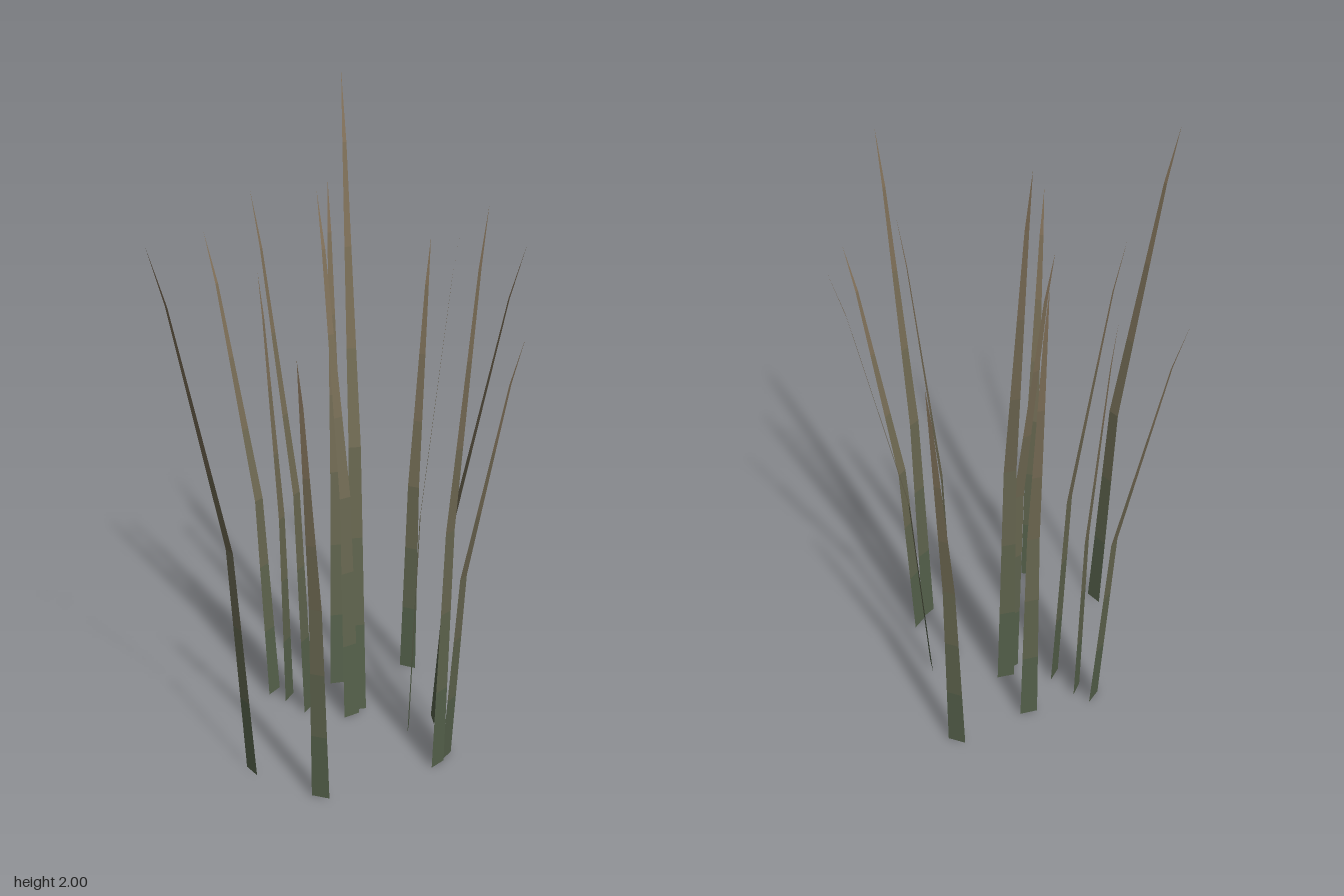
import * as THREE from 'three';

// Blades: base x, base z, tip x, tip z, height
const BLADES = [
  [0.159, -0.387, 0.206, -0.522, 1.46],
  [-0.27, -0.201, -0.47, -0.322, 1.52],
  [-0.147, -0.105, -0.307, -0.18, 1.69],
  [-0.217, -0.168, -0.293, -0.197, 1.44],
  [-0.064, -0.268, -0.104, -0.4, 1.68],
  [0.01, -0.113, -0.06, -0.375, 2.0],
  [-0.006, -0.076, -0.12, -0.23, 1.68],
  [0.253, -0.07, 0.488, -0.122, 1.56],
  [0.178, -0.014, 0.304, -0.008, 1.66],
  [0.301, 0.128, 0.483, 0.232, 1.41],
  [0.276, 0.173, 0.374, 0.254, 1.78],
  [-0.285, 0.252, -0.492, 0.432, 1.7],
  [-0.065, 0.367, -0.101, 0.52, 1.44],
];

// Cross-sections along a blade: height fraction, share of the lean, width
const SECTIONS = [[0, 0, 0.055], [0.45, 0.2, 0.038], [0.9, 0.81, 0.012], [1, 1, 0]];

// Bands from the green foot to the dry tip
const BANDS = [0, 0.15, 0.3, 0.45, 0.6, 0.75, 0.9, 1];
const FOOT = new THREE.Color(0x4f5f49);
const TIP = new THREE.Color(0x87745c);
const bandMaterials = BANDS.slice(1).map((t, i) => new THREE.MeshStandardMaterial({
  color: FOOT.clone().lerp(TIP, (t + BANDS[i]) / 2),
  side: THREE.DoubleSide,
  flatShading: true,
}));

// Straight interpolation between the cross-sections
function sectionAt(t) {
  let i = 1;
  while (i < SECTIONS.length - 1 && t > SECTIONS[i][0]) i++;
  const a = SECTIONS[i - 1], b = SECTIONS[i];
  const k = (t - a[0]) / (b[0] - a[0]);
  return a.map((v, j) => v + (b[j] - v) * k);
}

// The two edge points of a blade at height fraction t; its width lies across the lean
function edgePoints([bx, bz, tx, tz, height], t) {
  const [, lean, width] = sectionAt(t);
  const dx = tx - bx, dz = tz - bz;
  const half = width / 2 / Math.hypot(dx, dz);
  const x = bx + dx * lean, z = bz + dz * lean, y = height * t;
  return [x - dz * half, y, z + dx * half, x + dz * half, y, z - dx * half];
}

function createBlade(blade) {
  const group = new THREE.Group();
  group.name = 'grassBlade';
  bandMaterials.forEach((material, i) => {
    const geometry = new THREE.BufferGeometry();
    const points = [...edgePoints(blade, BANDS[i]), ...edgePoints(blade, BANDS[i + 1])];
    geometry.setAttribute('position', new THREE.Float32BufferAttribute(points, 3));
    // The last band closes to a point, so it needs only one triangle
    geometry.setIndex(BANDS[i + 1] === 1 ? [0, 1, 3] : [0, 1, 3, 0, 3, 2]);
    geometry.computeVertexNormals();
    const mesh = new THREE.Mesh(geometry, material);
    mesh.name = 'bladeBand';
    group.add(mesh);
  });
  return group;
}

export function createModel() {
  const model = new THREE.Group();
  model.name = 'grassTuft';
  BLADES.forEach((blade) => model.add(createBlade(blade)));
  return model;
}
